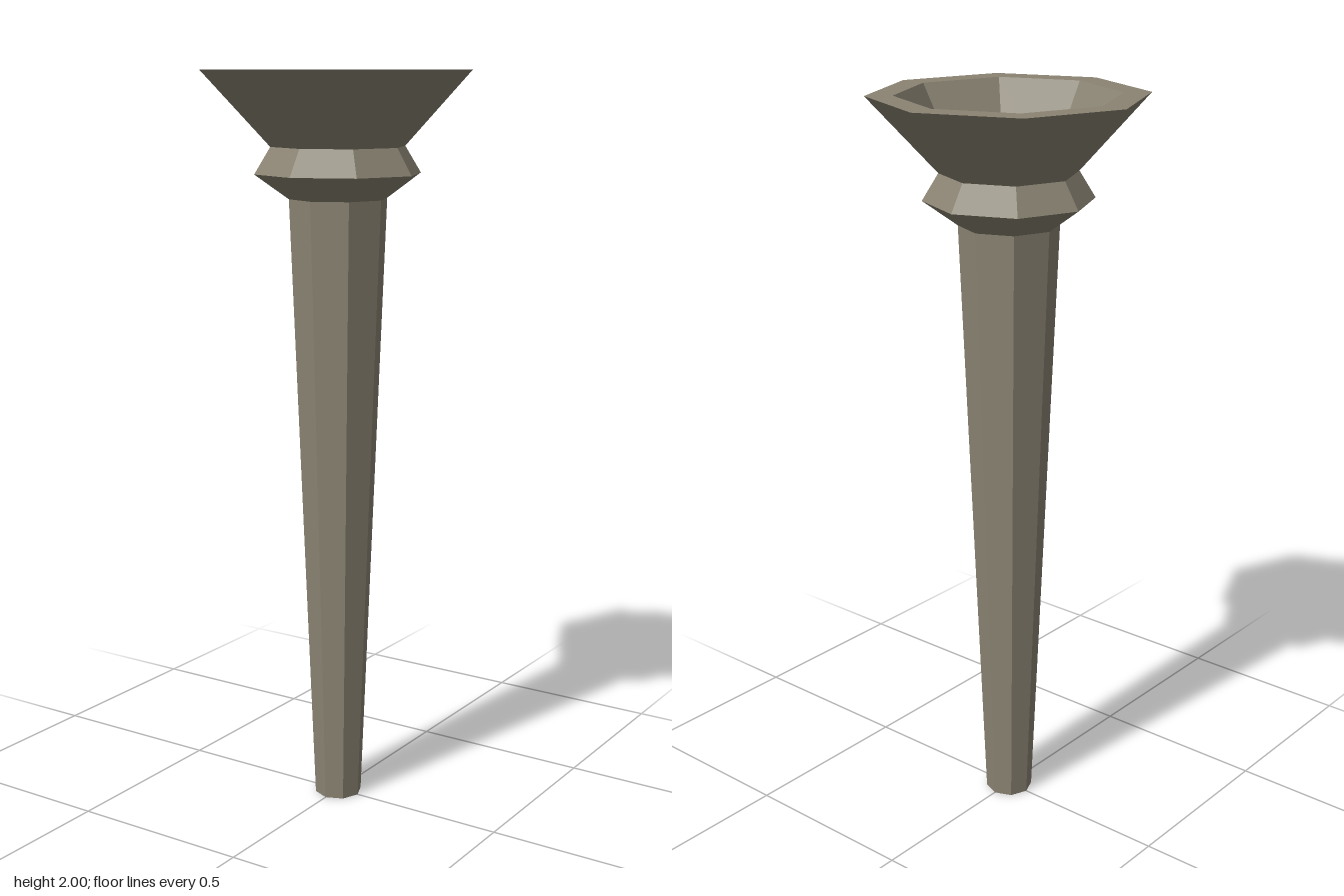
import * as THREE from 'three';

const SIDES = 8;

export function createModel() {
  const model = new THREE.Group();
  model.name = 'torchHolder';

  const material = new THREE.MeshStandardMaterial({ color: 0x8b8473, flatShading: true });

  // Revolves a [radius, height] profile into an eight-sided part
  const addTurned = (name, profile) => {
    const points = profile.map(([r, y]) => new THREE.Vector2(r, y));
    const mesh = new THREE.Mesh(new THREE.LatheGeometry(points, SIDES), material);
    mesh.name = name;
    model.add(mesh);
  };

  // Tapered handle with a closed foot
  addTurned('shaft', [[0, 0], [0.065, 0], [0.132, 1.67]]);

  // Flared ring between handle and bowl
  addTurned('collar', [[0.132, 1.67], [0.223, 1.735], [0.18, 1.805]]);

  // Bowl: outer wall, flat rim, inner wall and floor
  addTurned('bowl', [[0.18, 1.805], [0.361, 2], [0.29, 2], [0.162, 1.78], [0, 1.78]]);

  return model;
}
